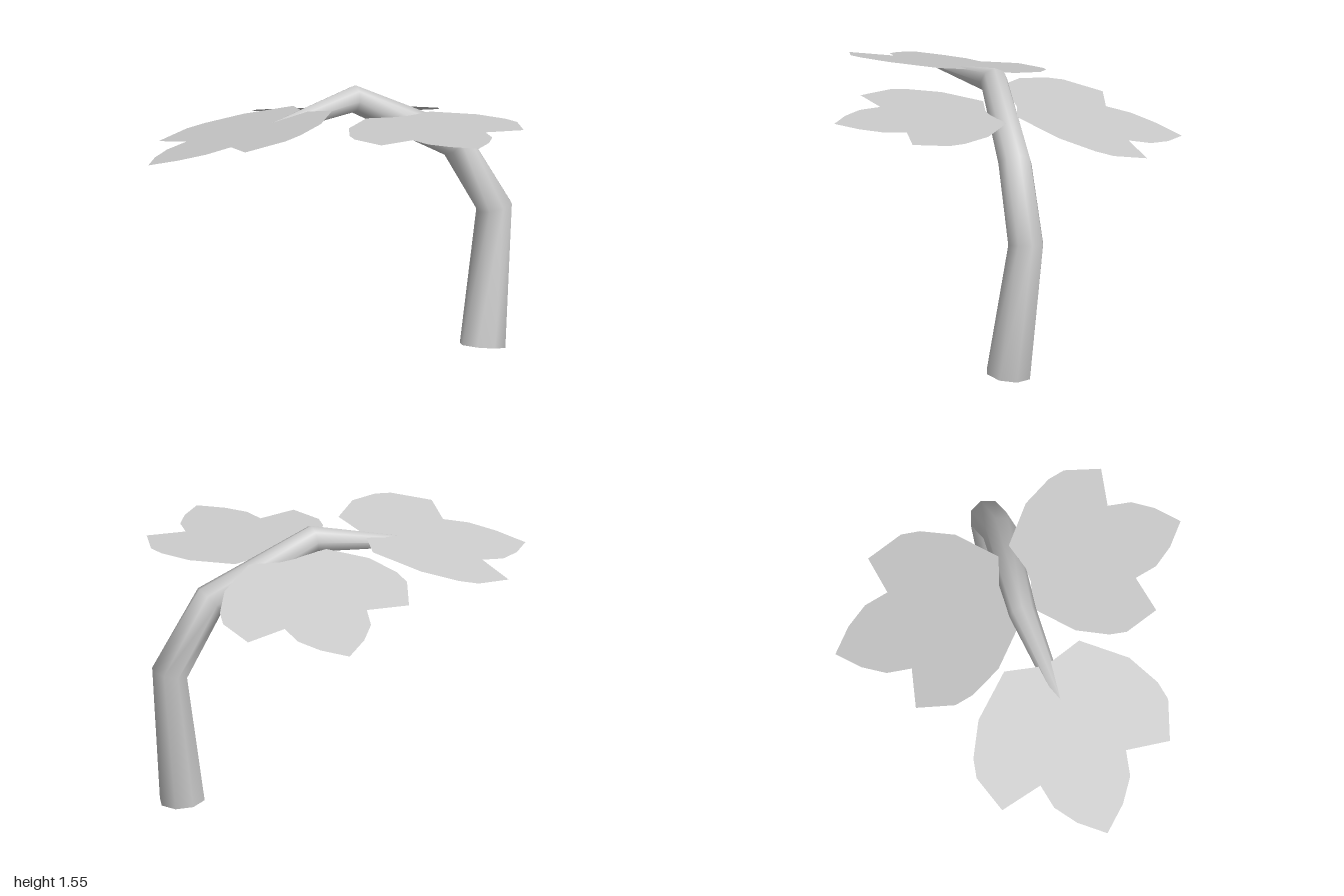
import * as THREE from 'three';

const material = new THREE.MeshStandardMaterial({ color: 0xcccccc, side: THREE.DoubleSide });

// Stem joints from the ground to the pointed end: x, y, z, radius
const JOINTS = [
  [0.62, 0.02, -0.44, 0.129],
  [0.65, 0.785, -0.56, 0.103],
  [0.47, 1.18, -0.405, 0.095],
  [0, 1.475, -0.045, 0.077],
  [-0.615, 1.305, 0.645, 0.004],
];

// Half of the leaf outline, tip to base: distance along the midrib, distance from it
const HALF_LEAF = [
  [0.986, 0], [0.87, 0.134], [0.746, 0.223], [0.605, 0.251], [0.65, 0.492],
  [0.435, 0.562], [0.329, 0.541], [0.145, 0.442], [-0.046, 0.22], [0, 0.046],
];

// Tapered tube with mitred octagonal rings, open at the foot
function createStem() {
  const sides = 8;
  const points = JOINTS.map(([x, y, z]) => new THREE.Vector3(x, y, z));
  const dirs = points.slice(1).map((p, i) => p.clone().sub(points[i]).normalize());
  const across = new THREE.Vector3(0.74, 0, 0.67);
  const positions = [];
  const index = [];
  points.forEach((p, i) => {
    const before = dirs[Math.max(i - 1, 0)];
    const after = dirs[Math.min(i, dirs.length - 1)];
    const tangent = before.clone().add(after).normalize();
    const e1 = across.clone().projectOnPlane(tangent).normalize();
    const e2 = tangent.clone().cross(e1);
    for (let j = 0; j < sides; j++) {
      const angle = (j / sides) * Math.PI * 2;
      const v = p.clone()
        .addScaledVector(e1, JOINTS[i][3] * Math.cos(angle))
        .addScaledVector(e2, JOINTS[i][3] * Math.sin(angle));
      positions.push(v.x, v.y, v.z);
      if (i < points.length - 1) {
        const a = i * sides + j;
        const b = i * sides + ((j + 1) % sides);
        index.push(a, b, b + sides, a, b + sides, a + sides);
      }
    }
  });
  const geometry = new THREE.BufferGeometry();
  geometry.setAttribute('position', new THREE.Float32BufferAttribute(positions, 3));
  geometry.setIndex(index);
  geometry.computeVertexNormals();
  const stem = new THREE.Mesh(geometry, material);
  stem.name = 'stem';
  return stem;
}

// Flat lobed leaf laid out from base towards tip on the plane y = h + sx * x + sz * z
function createLeaf(name, base, tip, [h, sx, sz]) {
  const mirrored = HALF_LEAF.slice(1).reverse().map(([u, v]) => [u, -v]);
  const outline = [...HALF_LEAF, ...mirrored].map(([u, v]) => new THREE.Vector2(u, v));
  const geometry = new THREE.ShapeGeometry(new THREE.Shape(outline));
  const ax = (tip[0] - base[0]) / HALF_LEAF[0][0];
  const az = (tip[1] - base[1]) / HALF_LEAF[0][0];
  const pos = geometry.attributes.position;
  for (let i = 0; i < pos.count; i++) {
    const u = pos.getX(i);
    const v = pos.getY(i);
    const x = base[0] + u * ax + v * az;
    const z = base[1] + u * az - v * ax;
    pos.setXYZ(i, x, h + sx * x + sz * z, z);
  }
  geometry.computeVertexNormals();
  const leaf = new THREE.Mesh(geometry, material);
  leaf.name = name;
  return leaf;
}

export function createModel() {
  const group = new THREE.Group();
  group.name = 'plant';
  group.add(
    createStem(),
    createLeaf('frontLeaf', [-0.21, 0.185], [-0.9, 0.89], [1.505, 0.25, -0.015]),
    createLeaf('backLeaf', [0.085, -0.215], [-0.54, -0.93], [1.443, 0.1, 0.278]),
    createLeaf('sideLeaf', [0.25, -0.13], [0.88, 0.5], [1.378, 0, 0.04]),
  );
  return group;
}
